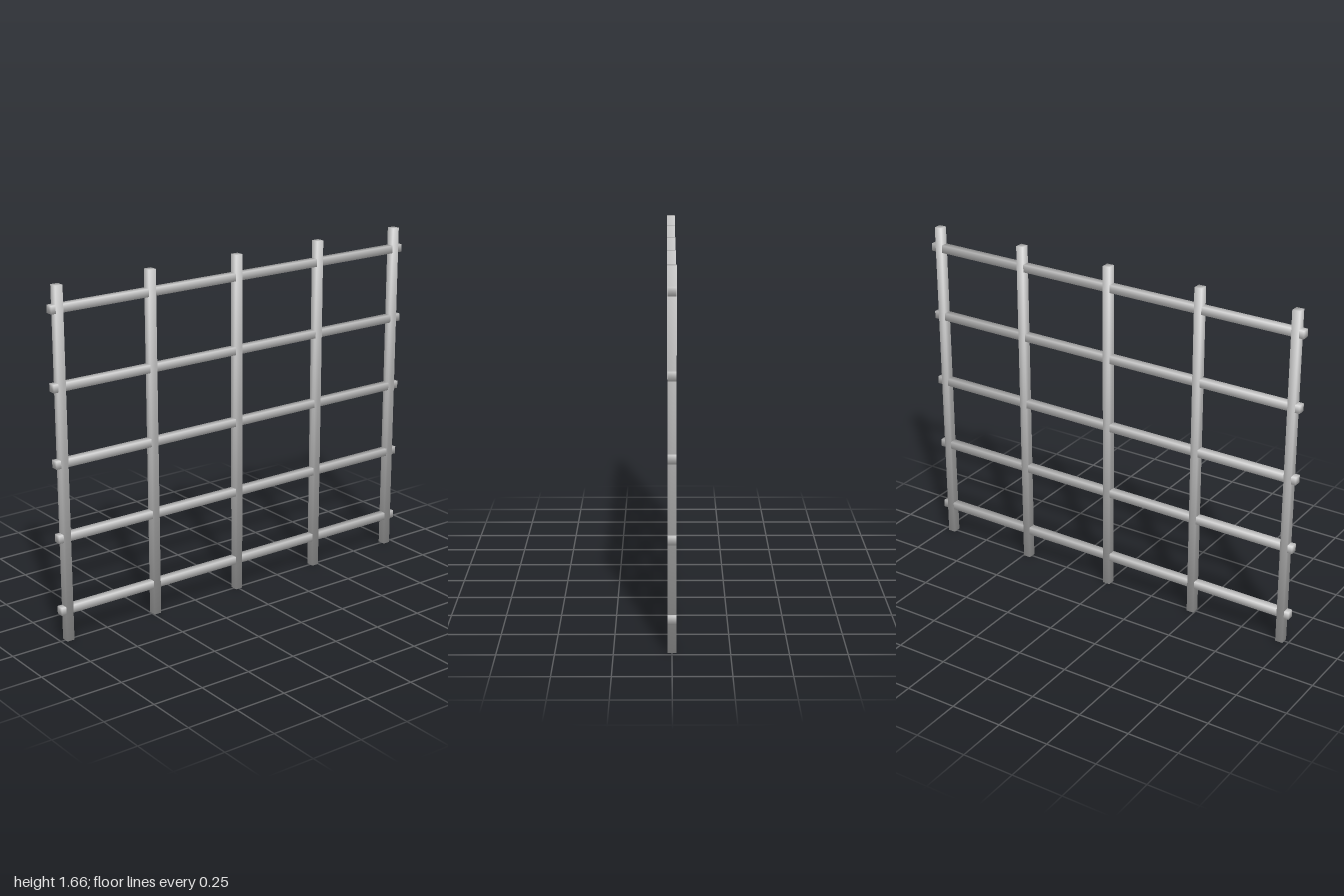
import * as THREE from 'three';

const material = new THREE.MeshStandardMaterial({ color: 0xcccccc });

// Square bar along y with one shared smooth normal at each corner
function barGeometry(width, length, depth) {
  const geometry = new THREE.BoxGeometry(width, length, depth);
  const { position, normal } = geometry.attributes;
  const n = new THREE.Vector3();
  for (let i = 0; i < position.count; i++) {
    n.fromBufferAttribute(position, i);
    n.set(Math.sign(n.x), Math.sign(n.y), Math.sign(n.z)).normalize();
    normal.setXYZ(i, n.x, n.y, n.z);
  }
  return geometry;
}

export function createModel() {
  const group = new THREE.Group();
  group.name = 'barGrille';

  const height = 1.66;
  const uprightGeometry = barGeometry(0.037, height, 0.039);
  const railGeometry = barGeometry(0.037, 2, 0.037);

  for (let i = 0; i < 5; i++) {
    // Uprights, evenly spaced across the width
    const upright = new THREE.Mesh(uprightGeometry, material);
    upright.name = `upright${i + 1}`;
    upright.position.set((i - 2) * 0.479, height / 2, 0);
    group.add(upright);

    // Cross rails, in the same plane as the uprights
    const rail = new THREE.Mesh(railGeometry, material);
    rail.name = `crossRail${i + 1}`;
    rail.rotation.z = -Math.PI / 2;
    rail.position.y = 0.152 + i * 0.351;
    group.add(rail);
  }
  return group;
}
